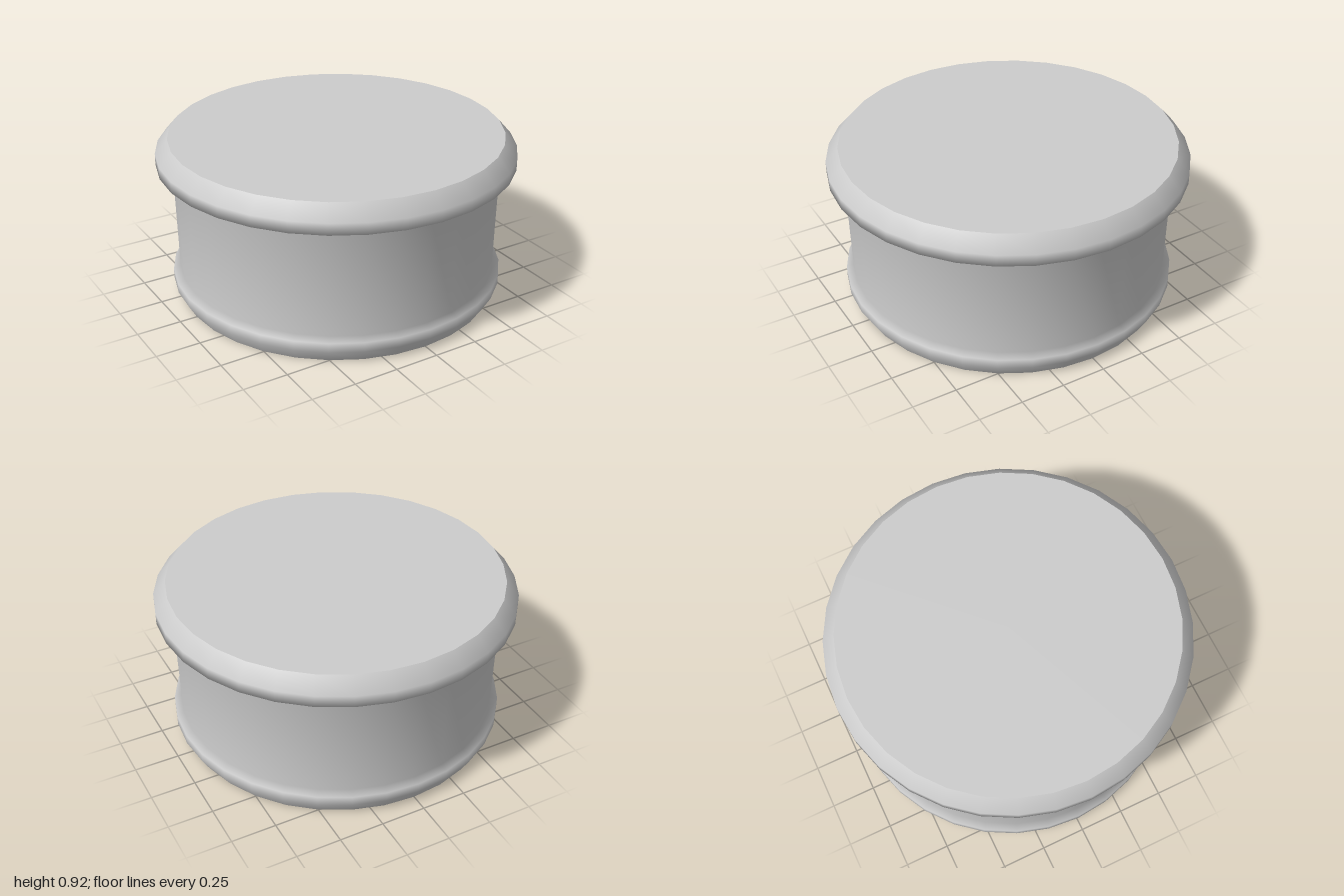
import * as THREE from 'three';

export function createModel() {
  const group = new THREE.Group();
  const grey = new THREE.MeshStandardMaterial({ color: 0xcccccc });
  grey.name = 'light grey';
  const SIDES = 32;

  const add = (name, geometry) => {
    const mesh = new THREE.Mesh(geometry, grey);
    mesh.name = name;
    group.add(mesh);
    return mesh;
  };

  // Smooth wall: bevelled foot, slightly flared body, overhanging bevelled rim
  const profile = [
    [0.9, 0], [0.94, 0.07], [0.94, 0.125], [0.9, 0.145],
    [0.91, 0.745], [1, 0.775], [1, 0.84], [0.93, 0.92],
  ].map(([r, y]) => new THREE.Vector2(r, y));
  add('wall', new THREE.LatheGeometry(profile, SIDES));

  // Flat end caps
  const top = new THREE.CircleGeometry(0.93, SIDES).rotateX(-Math.PI / 2);
  add('topCap', top.translate(0, 0.92, 0));
  add('bottomCap', new THREE.CircleGeometry(0.9, SIDES).rotateX(Math.PI / 2));

  return group;
}
